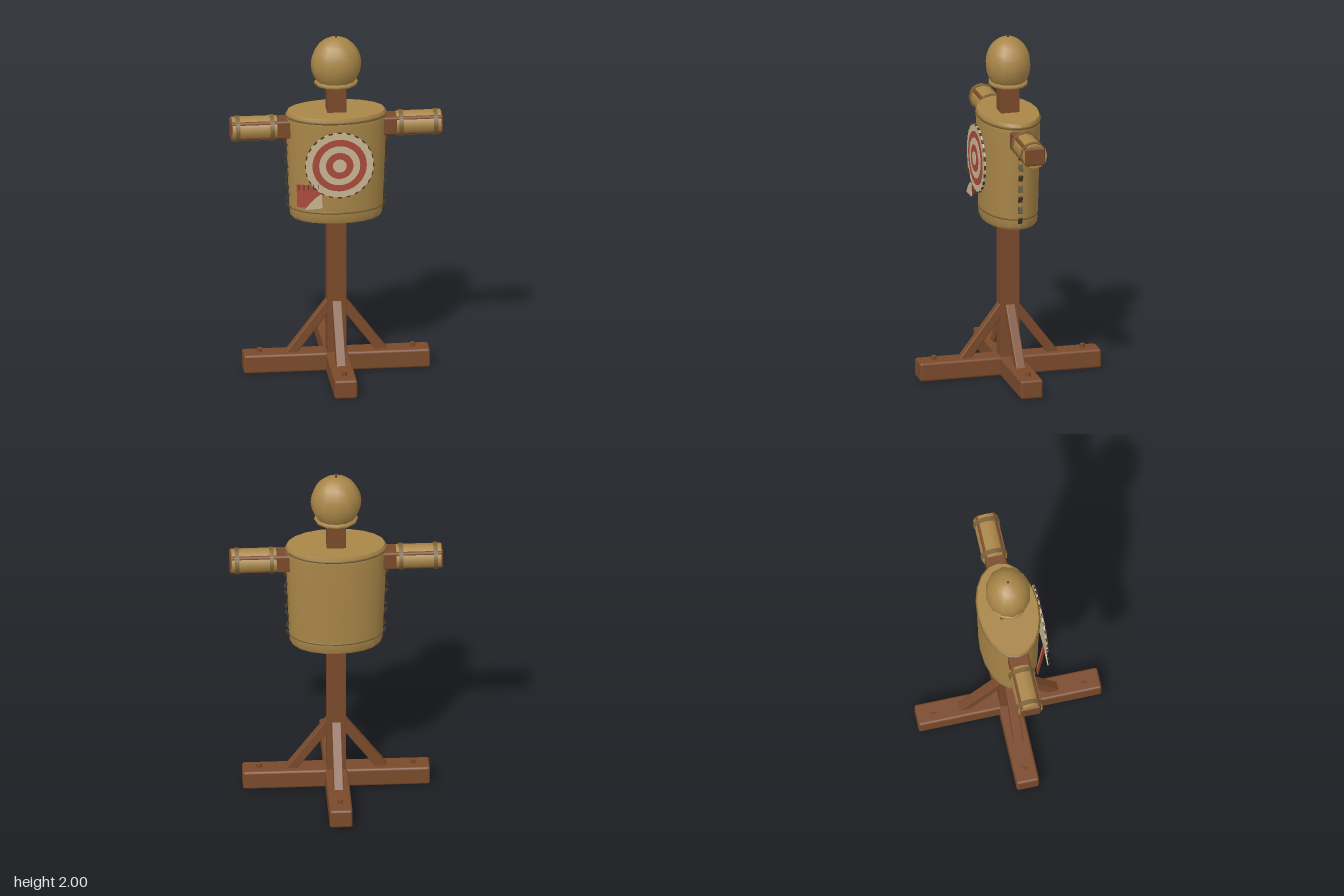
import * as THREE from 'three';
import { toCreasedNormals } from 'three/addons/utils/BufferGeometryUtils.js';
import { RoundedBoxGeometry } from 'three/addons/geometries/RoundedBoxGeometry.js';

export function createModel() {
  const model = new THREE.Group();
  model.name = 'trainingDummy';

  const material = (name, color) => {
    const m = new THREE.MeshStandardMaterial({ color });
    m.name = name;
    return m;
  };
  const wood = material('wood', 0x7a4a2b);
  const burlap = material('burlap', 0xa98648);
  const cord = material('cord', 0x7b6236);
  const thread = material('thread', 0x4a3b28);
  const red = material('faded red', 0xa84a3a);
  const cream = material('cream', 0xc8b594);

  const add = (name, geometry, mat, x = 0, y = 0, z = 0, parent = model) => {
    const mesh = new THREE.Mesh(geometry, mat);
    mesh.name = name;
    mesh.position.set(x, y, z);
    parent.add(mesh);
    return mesh;
  };
  const beam = (w, h, d, r = 0.014) => new RoundedBoxGeometry(w, h, d, 2, r);

  // Elliptical cord lying flat around the body or head
  const hoop = (rx, rz, tube, sides) => {
    const g = new THREE.TorusGeometry(rx, tube, 6, sides);
    g.rotateX(Math.PI / 2);
    g.scale(1, 1, rz / rx);
    return g;
  };

  // Crossed base beams, post and crossbar
  add('baseBeamSide', beam(1.06, 0.11, 0.13), wood, 0, 0.055, 0);
  add('baseBeamFront', beam(0.13, 0.11, 1.06), wood, 0, 0.055, 0);
  add('post', beam(0.11, 1.66, 0.11, 0.006), wood, 0, 0.9, 0);
  add('crossbar', beam(1.21, 0.107, 0.118, 0.012), wood, 0, 1.46, 0);

  // Diagonal braces and pegs, one per base arm
  for (let i = 0; i < 4; i++) {
    const arm = new THREE.Group();
    arm.name = 'baseArm';
    arm.rotation.y = (i * Math.PI) / 2;
    model.add(arm);
    const top = new THREE.Vector2(0.03, 0.405);
    const foot = new THREE.Vector2(0.272, 0.085);
    const brace = add('brace', beam(0.055, top.distanceTo(foot), 0.055, 0.006), wood,
      (top.x + foot.x) / 2, (top.y + foot.y) / 2, 0, arm);
    brace.rotation.z = Math.atan2(foot.x - top.x, top.y - foot.y);
    add('peg', new THREE.CylinderGeometry(0.015, 0.015, 0.03, 8), wood, 0.435, 0.117, 0, arm);
  }

  // Stuffed torso with hem cords
  const profile = [[0, 0.92], [0.25, 0.92], [0.262, 0.935], [0.267, 0.985],
    [0.287, 1.5], [0.288, 1.535], [0.278, 1.555], [0, 1.555]];
  const torso = new THREE.LatheGeometry(profile.map(([x, y]) => new THREE.Vector2(x, y)), 20);
  torso.scale(1, 1, 0.605);
  add('torso', toCreasedNormals(torso, 0.6), burlap);
  add('topHem', hoop(0.285, 0.173, 0.008, 20), cord, 0, 1.53, 0);
  add('bottomHem', hoop(0.264, 0.16, 0.006, 20), cord, 0, 0.985, 0);

  // Sack head with neck cord and top knot
  const head = new THREE.SphereGeometry(1, 12, 12);
  head.scale(0.144, 0.158, 0.129);
  add('head', head, burlap, 0, 1.833, 0);
  add('neckCord', hoop(0.113, 0.102, 0.013, 12), burlap, 0, 1.722, 0);
  add('topKnot', new THREE.CylinderGeometry(0.006, 0.006, 0.016, 6), thread, 0, 1.992, 0);

  // Padded sleeves, sleeve cords and side stitches
  for (const side of [1, -1]) {
    const tube = (r, len) => new THREE.CylinderGeometry(r, r, len, 12).rotateZ(Math.PI / 2);
    add('sleeve', tube(0.071, 0.255), burlap, side * 0.467, 1.46, 0);
    for (const x of [0.367, 0.563]) add('sleeveCord', tube(0.077, 0.024), cord, side * x, 1.46, 0);
    for (let i = 0; i < 7; i++) {
      const y = 0.98 + i * 0.0635;
      const stitch = add('sideStitch', new THREE.BoxGeometry(0.01, 0.04, 0.024), thread,
        side * (0.27 + (y - 0.985) * 0.039), y, 0);
      stitch.rotation.z = side * (i % 2 ? 0.5 : -0.5);
    }
  }

  // Round target made of stacked thin discs
  const target = new THREE.Group();
  target.name = 'target';
  target.position.set(0, 1.285, 0.185);
  model.add(target);
  [0.195, 0.155, 0.117, 0.078, 0.039].forEach((r, i) => {
    const disc = new THREE.CylinderGeometry(r, r, 0.009, 32).rotateX(Math.PI / 2);
    add('targetRing', disc, i % 2 ? red : cream, 0, 0, i * 0.0025, target);
  });
  for (let i = 0; i < 24; i++) {
    const a = (i / 24) * Math.PI * 2;
    const stitch = add('targetStitch', new THREE.BoxGeometry(0.006, 0.024, 0.012), thread,
      Math.cos(a) * 0.194, Math.sin(a) * 0.194, 0.002, target);
    stitch.rotation.z = a;
  }

  // Sewn patch following the curve of the torso, with a pale corner
  const patch = add('patch', new THREE.BoxGeometry(0.145, 0.135, 0.008), red, -0.17, 1.09, 0.152);
  patch.rotation.set(0, -0.48, 0.04);
  const corner = new THREE.Shape();
  corner.moveTo(-0.195, 1.025);
  corner.lineTo(-0.097, 1.03);
  corner.lineTo(-0.102, 1.115);
  corner.quadraticCurveTo(-0.155, 1.085, -0.195, 1.025);
  add('patchCorner', new THREE.ExtrudeGeometry(corner, { depth: 0.006, bevelEnabled: false }),
    cream, 0, 0, 0.186);
  for (let i = 0; i < 5; i++) {
    add('patchStitch', new THREE.BoxGeometry(0.005, 0.03, 0.005), thread,
      -0.23 + i * 0.027, 1.16, 0.19);
  }
  return model;
}
